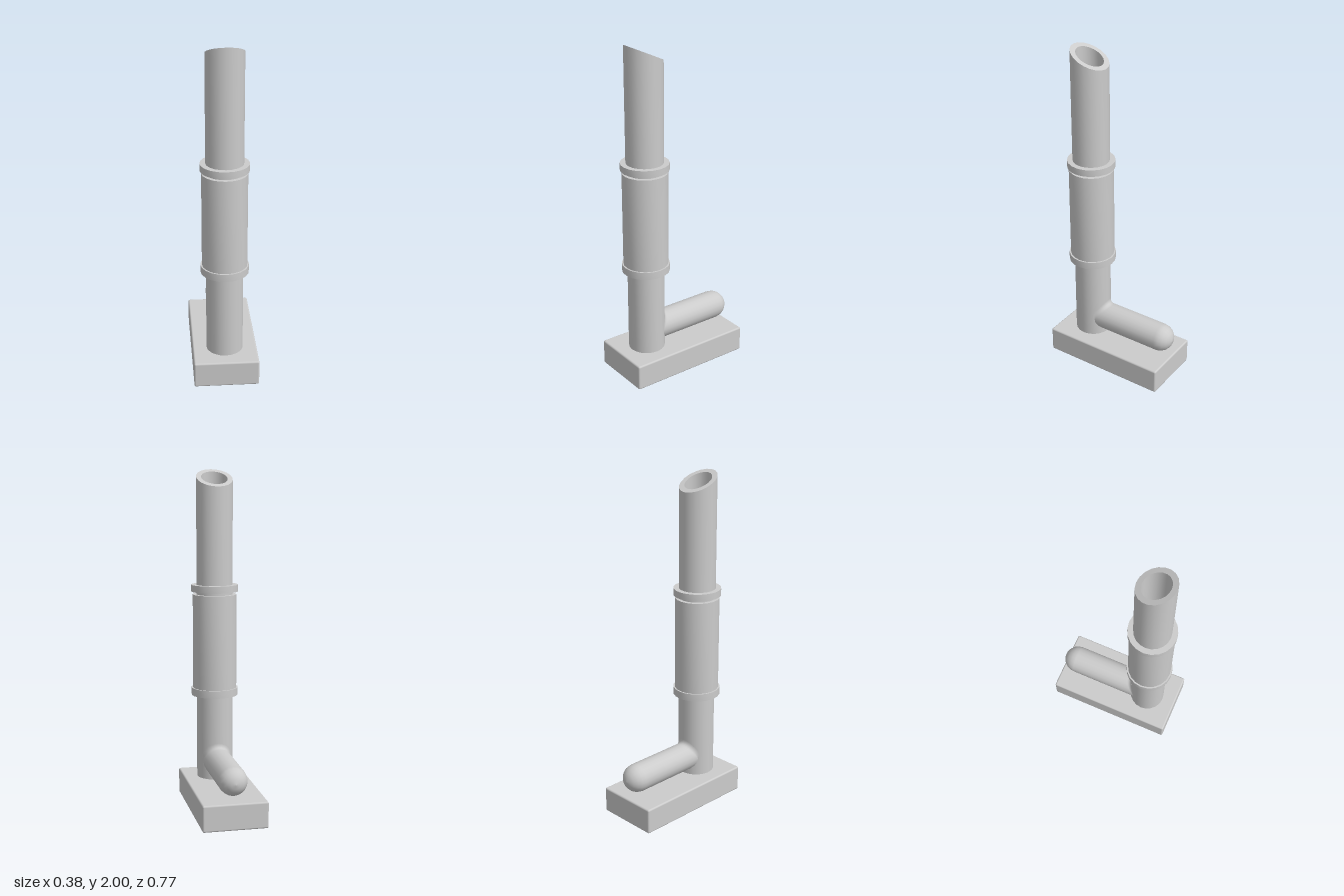
import * as THREE from 'three';
import { toCreasedNormals } from 'three/addons/utils/BufferGeometryUtils.js';
import { RoundedBoxGeometry } from 'three/addons/geometries/RoundedBoxGeometry.js';
import { ParametricGeometry } from 'three/addons/geometries/ParametricGeometry.js';

const SIDES = 20;
const TUBE_Z = 0.195, TUBE_R = 0.108, BORE_R = 0.078;
const ARM_R = 0.084, ARM_Y = 0.264, ARM_END = -0.383;

// z of the rear wall of an upright cylinder around the tube axis
const rearWall = (x, r) => TUBE_Z - Math.sqrt(Math.max(0, r * r - x * x));

// Hollow ring with a rectangular section
function ringGeometry(inner, outer, y0, y1) {
  const profile = [[inner, y0], [outer, y0], [outer, y1], [inner, y1], [inner, y0]];
  return new THREE.LatheGeometry(profile.map(([x, y]) => new THREE.Vector2(x, y)), SIDES);
}

export function createModel() {
  const model = new THREE.Group();
  const material = new THREE.MeshStandardMaterial({ color: 0xcccccc });
  const add = (name, geometry, z = 0, mat = material) => {
    const mesh = new THREE.Mesh(geometry, mat);
    mesh.name = name;
    mesh.position.z = z;
    model.add(mesh);
  };

  // Base block with softened edges
  const base = new RoundedBoxGeometry(0.38, 0.155, 0.77, 3, 0.01);
  base.translate(0, 0.0775, 0);
  add('base', base);

  // Upright pipe, its mouth cut on a slope that falls to the rear
  const tube = ringGeometry(BORE_R, TUBE_R, 0.15, 2);
  const p = tube.attributes.position;
  for (let i = 0; i < p.count; i++) {
    if (p.getY(i) > 1) p.setY(i, 2 - (TUBE_R - p.getZ(i)) * 0.465);
  }
  add('pipe', toCreasedNormals(tube, 0.6), TUBE_Z);

  // Sleeve and the two collars around the pipe
  for (const [name, r, y0, y1] of [
    ['sleeve', 0.131, 0.69, 1.267],
    ['lowerCollar', 0.14, 0.66, 0.705],
    ['upperCollar', 0.14, 1.284, 1.325],
  ]) add(name, toCreasedNormals(ringGeometry(0.1, r, y0, y1), 0.6), TUBE_Z);

  // Horizontal arm: open at the pipe, domed at the rear
  const armProfile = [new THREE.Vector2(ARM_R, -0.12)];
  for (let i = 0; i <= 5; i++) {
    const a = (i / 5) * Math.PI / 2;
    armProfile.push(new THREE.Vector2(ARM_R * Math.cos(a), -ARM_END - ARM_R + ARM_R * Math.sin(a)));
  }
  const arm = new THREE.LatheGeometry(armProfile, SIDES);
  arm.rotateX(-Math.PI / 2);
  // Shape the open end to sit inside the pipe wall
  const q = arm.attributes.position;
  for (let i = 0; i < q.count; i++) {
    if (q.getZ(i) > 0.1) q.setZ(i, rearWall(q.getX(i), 0.1));
  }
  arm.translate(0, ARM_Y, 0);
  add('arm', arm);

  // Fillet blending the top of the arm into the pipe
  const fillet = new ParametricGeometry((u, v, target) => {
    const t = u * Math.PI, c = Math.cos(t), s = Math.sin(t);
    const f = 0.03 * s;
    const xa = (ARM_R + f) * c, xb = ARM_R * c;
    const a = new THREE.Vector3(xa, ARM_Y + (ARM_R + f) * s, rearWall(xa, TUBE_R));
    const corner = new THREE.Vector3(xb, ARM_Y + ARM_R * s, rearWall(xb, TUBE_R));
    const b = corner.clone().setZ(corner.z - f);
    target.copy(new THREE.QuadraticBezierCurve3(a, corner, b).getPoint(v));
  }, 16, 4);
  add('armFillet', fillet, 0,
    new THREE.MeshStandardMaterial({ color: 0xcccccc, side: THREE.DoubleSide }));

  return model;
}
